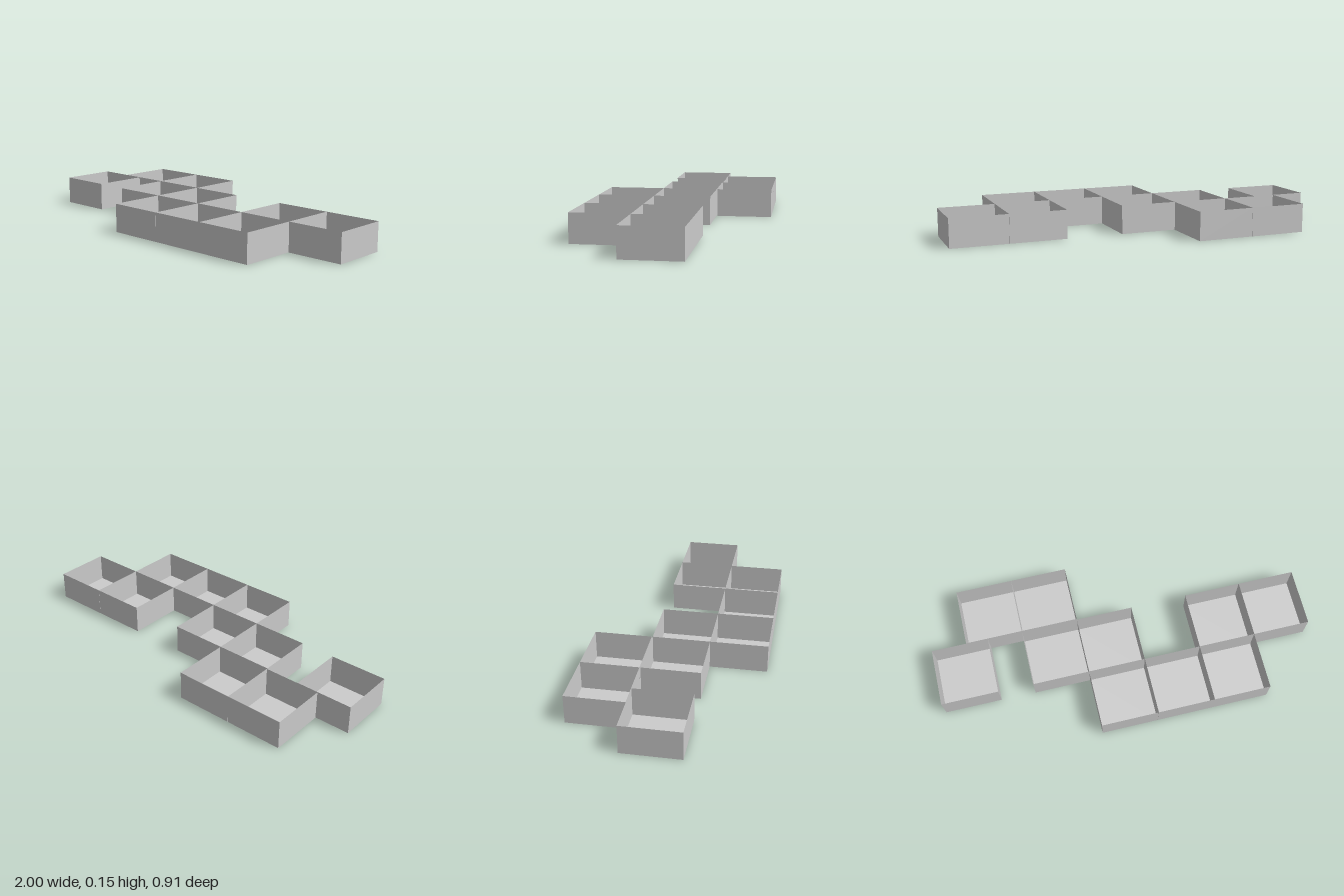
import * as THREE from 'three';

const SIZE = 0.302, HEIGHT = 0.152;

export function createModel() {
  const model = new THREE.Group();
  model.name = 'openTrays';
  const material = new THREE.MeshStandardMaterial({
    color: 0xcccccc, flatShading: true, side: THREE.DoubleSide,
  });

  // Thin sheets shared by every tray
  const floorGeometry = new THREE.PlaneGeometry(SIZE, SIZE).rotateX(Math.PI / 2);
  const wallGeometry = new THREE.PlaneGeometry(SIZE, HEIGHT).translate(0, HEIGHT / 2, SIZE / 2);

  // Square tray, open at the top
  function tray(name, x, z) {
    const group = new THREE.Group();
    group.name = name;
    const floor = new THREE.Mesh(floorGeometry, material);
    floor.name = 'floor';
    group.add(floor);
    ['frontWall', 'leftWall', 'backWall', 'rightWall'].forEach((wallName, i) => {
      const wall = new THREE.Mesh(wallGeometry, material);
      wall.name = wallName;
      wall.rotation.y = i * Math.PI / 2;
      group.add(wall);
    });
    group.position.set(x, 0, z);
    model.add(group);
  }

  // Three staggered rows: z centre and the x centre of each tray
  const rows = [
    ['backTray', -0.304, [-0.664, -0.361]],
    ['middleTray', 0.003, [-0.361, -0.059, 0.546, 0.849]],
    ['frontTray', 0.305, [-0.059, 0.244, 0.546]],
  ];
  for (const [name, z, xs] of rows) xs.forEach((x, i) => tray(name + (i + 1), x, z));

  // Tray standing apart from the others
  tray('separateTray', -0.849, 0);

  return model;
}
